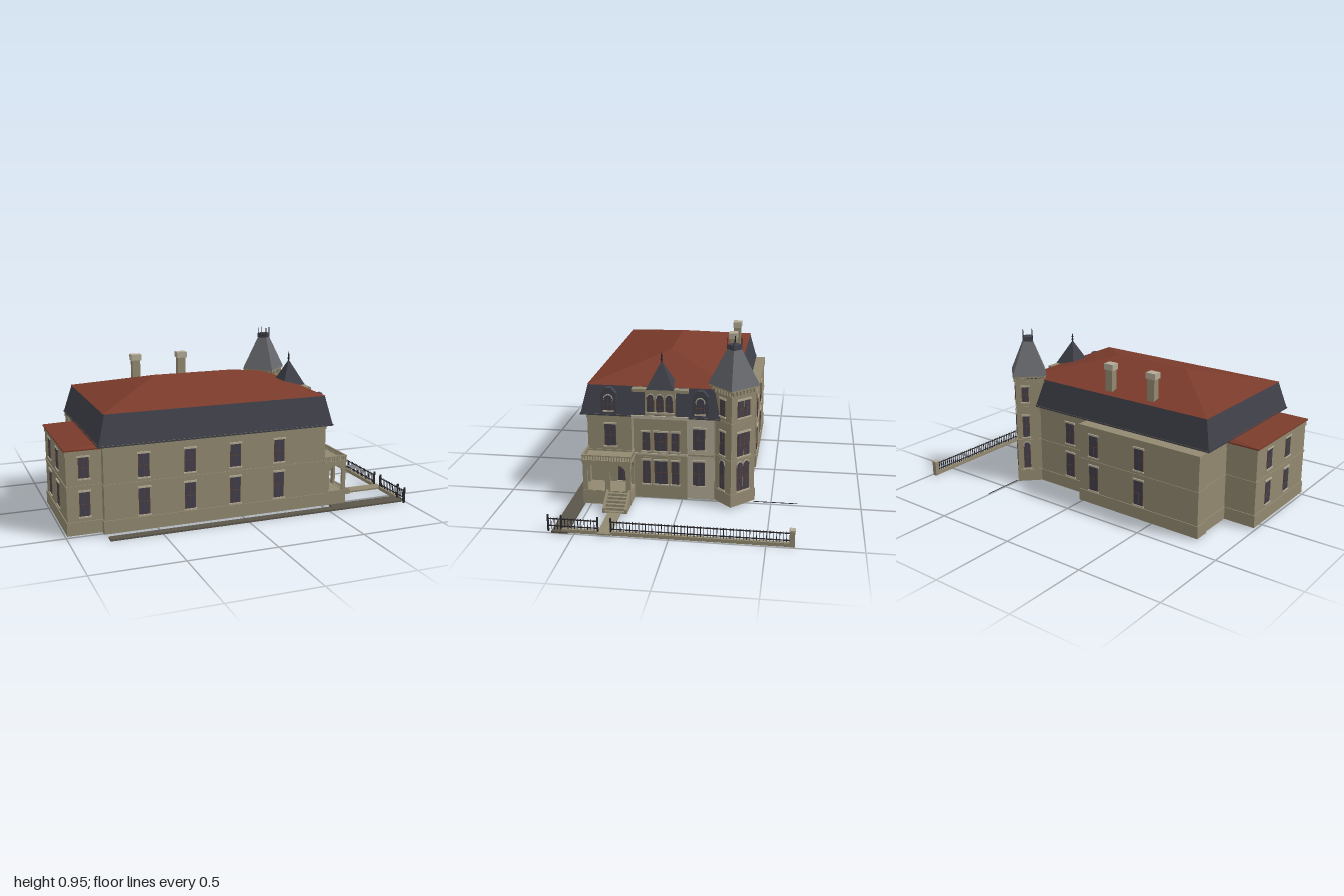
import * as THREE from 'three';

const mat = (name, color, side = THREE.FrontSide) => {
  const m = new THREE.MeshStandardMaterial({ color, side });
  m.name = name;
  return m;
};

export function createModel() {
  const house = new THREE.Group();
  house.name = 'mansardHouse';
  const D = THREE.DoubleSide;
  const stone = mat('stone', 0x928970, D), trim = mat('paleStone', 0xb3ab96), red = mat('redRoof', 0x7a3b2b, D);
  const slate = mat('slate', 0x40404a, D), lead = mat('leadRoof', 0x66686d, D), glass = mat('glass', 0x403f4c);
  const wood = mat('brownWood', 0x5f4438), iron = mat('iron', 0x29292d), paving = mat('darkPaving', 0x5b564a);

  const add = (name, geo, m, parent = house) => {
    const mesh = new THREE.Mesh(geo, m);
    mesh.name = name;
    parent.add(mesh);
    return mesh;
  };
  // Box given by its extents
  const box = (name, m, x0, x1, y0, y1, z0, z1, parent) => {
    const b = add(name, new THREE.BoxGeometry(x1 - x0, y1 - y0, z1 - z0), m, parent);
    b.position.set((x0 + x1) / 2, (y0 + y1) / 2, (z0 + z1) / 2);
    return b;
  };
  const rect = (x0, x1, z0, z1, y) => [[x0, y, z1], [x1, y, z1], [x1, y, z0], [x0, y, z0]];
  const diamond = (x, z, r, y) => [[x, y, z + r], [x + r, y, z], [x, y, z - r], [x - r, y, z]];
  // Flat-faced skin over a stack of four-cornered rings
  const loft = (name, m, ...rings) => {
    const p = [];
    for (let i = 0; i < rings.length - 1; i++)
      for (let j = 0; j < 4; j++) {
        const a = rings[i][j], b = rings[i][(j + 1) % 4], c = rings[i + 1][(j + 1) % 4], d = rings[i + 1][j];
        p.push(...a, ...b, ...c, ...a, ...c, ...d);
      }
    const g = new THREE.BufferGeometry();
    g.setAttribute('position', new THREE.Float32BufferAttribute(p, 3));
    g.computeVertexNormals();
    return add(name, g, m);
  };
  // Open-bottomed walls with plinth and string course
  const walls = (name, x0, x1, z0, z1, top) => {
    loft(name + 'Walls', stone, rect(x0, x1, z0, z1, 0.01), rect(x0, x1, z0, z1, top));
    for (const [y0, y1, o] of [[0.012, 0.085, 0.005], [0.275, 0.284, 0.004], [top - 0.03, top, 0.004]])
      loft(name + 'Band', stone, rect(x0, x1, z0, z1, y0), rect(x0 - o, x1 + o, z0 - o, z1 + o, y0),
        rect(x0 - o, x1 + o, z0 - o, z1 + o, y1), rect(x0, x1, z0, z1, y1));
  };
  // Sash window centred on a wall plane, facing along ry
  const sash = (x, y0, y1, z, w, ry, arched = false) => {
    const g = new THREE.Group(), h = y1 - y0;
    g.name = 'window';
    g.position.set(x, (y0 + y1) / 2, z);
    g.rotation.y = ry;
    house.add(g);
    const plate = (name, m, pw, ph, d, y = 0) => box(name, m, -pw / 2, pw / 2, y - ph / 2, y + ph / 2, -d / 2, d / 2, g);
    plate('windowFrame', wood, w + 0.008, h + 0.008, 0.006);
    plate('windowPane', glass, w, h, 0.008);
    plate('meetingRail', wood, w, 0.004, 0.0096);
    if (w > 0.03) plate('glazingBar', wood, 0.003, h, 0.0096);
    plate('sill', trim, w + 0.02, 0.008, 0.016, -h / 2 - 0.006);
    if (arched) {
      for (const [name, m, r, d] of [['archFrame', trim, w / 2 + 0.006, 0.006], ['archPane', glass, w / 2, 0.008]])
        add(name, new THREE.CylinderGeometry(r, r, d, 16).rotateX(Math.PI / 2), m, g).position.y = h / 2;
    } else plate('lintel', trim, w + 0.02, 0.01, 0.014, h / 2 + 0.007);
  };

  // Main block, side wing and rear extension
  walls('main', -0.8, 0.5, -0.3, 0.54, 0.5);
  walls('wing', -0.99, -0.8, -0.08, 0.5, 0.475);
  walls('rear', -0.81, 0, -0.378, -0.3, 0.48);
  box('rearFlatRoof', stone, -0.815, 0.004, 0.48, 0.49, -0.382, -0.3);
  loft('wingRoof', red, rect(-1, -0.79, -0.09, 0.51, 0.474), rect(-1, -0.79, -0.09, 0.51, 0.482),
    rect(-0.83, -0.79, -0.06, 0.48, 0.495), rect(-0.8, -0.8, 0.2, 0.2, 0.497));

  // Mansard, red hipped roof and chimneys
  loft('eaves', slate, rect(-0.8, 0.5, -0.3, 0.54, 0.485), rect(-0.832, 0.53, -0.322, 0.574, 0.495),
    rect(-0.832, 0.53, -0.322, 0.574, 0.503));
  loft('mansard', slate, rect(-0.828, 0.527, -0.318, 0.57, 0.503), rect(-0.785, 0.492, -0.278, 0.532, 0.663));
  loft('hippedRoof', red, rect(-0.79, 0.496, -0.282, 0.536, 0.663), rect(-0.39, 0.09, 0.125, 0.125, 0.77));
  for (const x of [-0.4, -0.11]) {
    box('chimney', stone, x - 0.024, x + 0.024, 0.66, 0.8, -0.245, -0.203);
    box('chimneyCap', trim, x - 0.031, x + 0.031, 0.8, 0.835, -0.25, -0.198);
  }

  // Windows of the long sides and the wing
  const floors = [[0.1, 0.245], [0.31, 0.435]];
  for (const [a, b] of floors) {
    for (const x of [-0.58, -0.32, -0.055, 0.21]) sash(x, a, b, 0.54, 0.055, 0);
    sash(-0.895, a + 0.015, b, 0.5, 0.05, 0);
    for (const z of [0.06, 0.28]) sash(-0.99, a + 0.015, b, z, 0.05, -Math.PI / 2);
    for (const x of [-0.1, -0.42]) sash(x, a, b, -0.378, 0.055, Math.PI);
    sash(0.14, a, b, -0.3, 0.055, Math.PI);
  }

  // Entrance side: centre pavilion, pale bay and their windows
  const R = Math.PI / 2;
  box('pavilion', stone, 0.49, 0.52, 0.01, 0.5, -0.03, 0.27);
  box('pavilionCornice', trim, 0.49, 0.536, 0.488, 0.506, -0.04, 0.28);
  box('pavilionCourse', trim, 0.5, 0.525, 0.272, 0.282, -0.033, 0.273);
  box('pavilionPier', trim, 0.49, 0.515, 0.01, 0.488, 0.27, 0.283);
  box('paleBay', trim, 0.49, 0.508, 0.01, 0.49, -0.18, -0.03);
  box('bayCourse', stone, 0.49, 0.514, 0.272, 0.282, -0.18, -0.03);
  for (const [z, w] of [[0.2, 0.036], [0.118, 0.066], [0.036, 0.036]]) {
    sash(0.52, 0.1, 0.235, z, w, R);
    sash(0.52, 0.3, 0.405, z, w, R);
    const arc = add('windowHood', new THREE.TorusGeometry(w * 0.75, 0.004, 4, 12, Math.PI), stone);
    arc.scale.y = 0.5;
    arc.rotation.y = R;
    arc.position.set(0.522, 0.246, z);
  }
  sash(0.508, 0.095, 0.235, -0.095, 0.06, R);
  sash(0.508, 0.31, 0.43, -0.095, 0.06, R);
  sash(0.5, 0.31, 0.435, 0.41, 0.058, R);
  sash(0.5, 0.1, 0.24, 0.34, 0.055, R);

  // Three-light attic with its spire
  box('attic', stone, 0.42, 0.526, 0.5, 0.645, 0.035, 0.203);
  box('atticCornice', stone, 0.42, 0.536, 0.643, 0.66, -0.038, 0.275);
  for (const z of [0.171, 0.119, 0.067]) sash(0.526, 0.53, 0.61, z, 0.034, R, true);
  loft('spire', slate, rect(0.395, 0.538, 0.04, 0.195, 0.658), rect(0.463, 0.463, 0.117, 0.117, 0.805));
  const finial = [[0, 0], [0.006, 0], [0.003, 0.014], [0.008, 0.022], [0.003, 0.03], [0.006, 0.038], [0, 0.065]];
  add('finial', new THREE.LatheGeometry(finial.map(p => new THREE.Vector2(...p)), 8), iron).position.set(0.463, 0.79, 0.117);

  // Slate dormers
  for (const z of [0.41, -0.105]) {
    const s = new THREE.Shape([[-0.043, 0.515], [0.043, 0.515], [0.043, 0.625], [0.016, 0.656], [-0.016, 0.656],
      [-0.043, 0.625]].map(p => new THREE.Vector2(...p)));
    const d = add('dormer', new THREE.ExtrudeGeometry(s, { depth: 0.08, bevelEnabled: false }), slate);
    d.rotation.y = R;
    d.position.set(0.45, 0, z);
    sash(0.53, 0.53, 0.595, z, 0.042, R, true);
  }

  // Corner tower, set diagonally
  const tx = 0.475, tz = -0.282, ring = (r, y) => diamond(tx, tz, r, y);
  loft('towerWalls', stone, ring(0.12, 0.01), ring(0.12, 0.67));
  for (const [y0, y1, r] of [[0.012, 0.085, 0.126], [0.275, 0.285, 0.125], [0.49, 0.5, 0.125], [0.645, 0.655, 0.125]])
    loft('towerBand', stone, ring(0.12, y0), ring(r, y0), ring(r, y1), ring(0.12, y1));
  loft('towerEaves', stone, ring(0.12, 0.675), ring(0.138, 0.68), ring(0.138, 0.69));
  loft('towerRoof', lead, ring(0.12, 0.688), ring(0.142, 0.69), ring(0.04, 0.887));
  loft('towerCap', slate, ring(0.036, 0.885), ring(0.042, 0.889), ring(0.042, 0.914), ring(0, 0.914));
  for (const [x, , z] of ring(0.038, 0)) box('towerSpike', iron, x - 0.002, x + 0.002, 0.91, 0.95, z - 0.002, z + 0.002);
  for (let k = 0; k < 4; k++) {
    const ry = Math.PI / 4 + k * R, n = 0.12 / Math.SQRT2;
    const at = (u, o) => [tx + Math.sin(ry) * (n + o) + Math.cos(ry) * u, tz + Math.cos(ry) * (n + o) - Math.sin(ry) * u];
    for (let i = -3; i <= 3; i++) {
      const [x, z] = at(i * 0.024, 0.004), c = box('corbel', stone, -0.005, 0.005, 0.655, 0.677, -0.006, 0.006);
      c.position.set(x, 0.666, z);
      c.rotation.y = ry;
    }
    if (k > 1 && k !== 2) continue;
    for (const [a, b] of [[0.1, 0.25], [0.305, 0.435], [0.53, 0.62]])
      for (const u of k === 0 ? [0.01] : k === 1 ? [-0.023, 0.023] : [-0.03]) {
        const [x, z] = at(u, 0);
        sash(x, a, b, z, 0.034, ry, a < 0.2);
      }
  }

  // Arcaded porch
  const arcade = (x, z, ry, len, arches) => {
    const s = new THREE.Shape([[0, 0.085], [len, 0.085], [len, 0.262], [0, 0.262]].map(p => new THREE.Vector2(...p)));
    for (const [c, r] of arches) {
      const h = new THREE.Path();
      h.moveTo(c - r, 0.092);
      h.lineTo(c + r, 0.092);
      h.lineTo(c + r, 0.2);
      h.absarc(c, 0.2, r, 0, Math.PI, false);
      h.closePath();
      s.holes.push(h);
    }
    const m = add('porchArcade', new THREE.ExtrudeGeometry(s, { depth: 0.014, bevelEnabled: false, curveSegments: 10 }), stone);
    m.position.set(x, 0, z);
    m.rotation.y = ry;
  };
  arcade(0.626, 0.54, R, 0.27, [[0.075, 0.049], [0.197, 0.044]]);
  arcade(0.5, 0.526, 0, 0.126, [[0.075, 0.042]]);
  arcade(0.5, 0.27, 0, 0.126, [[0.075, 0.042]]);
  box('porchFloor', stone, 0.5, 0.642, 0.01, 0.09, 0.268, 0.542);
  box('porchRoof', stone, 0.5, 0.646, 0.26, 0.272, 0.264, 0.546);
  const railAt = (x0, x1, z0, z1) => box('porchRail', stone, x0, x1, 0.294, 0.301, z0, z1);
  railAt(0.634, 0.644, 0.266, 0.544);
  railAt(0.5, 0.644, 0.534, 0.544);
  railAt(0.5, 0.644, 0.266, 0.276);
  const post = (x, z) => box('porchBaluster', stone, x - 0.003, x + 0.003, 0.272, 0.295, z - 0.003, z + 0.003);
  for (let i = 0; i <= 18; i++) post(0.639, 0.271 + i * 0.0149);
  for (let i = 0; i < 9; i++) for (const z of [0.271, 0.539]) post(0.508 + i * 0.0148, z);

  // Steps with sloping cheeks, and the path to the gate
  for (let i = 0; i < 6; i++) box('step', stone, 0.64, 0.66 + i * 0.018, 0.01, 0.085 - i * 0.0135, 0.285, 0.395);
  for (const z of [0.272, 0.395]) {
    const s = new THREE.Shape([[0.64, 0.01], [0.752, 0.01], [0.752, 0.035], [0.64, 0.1]].map(p => new THREE.Vector2(...p)));
    add('stepCheek', new THREE.ExtrudeGeometry(s, { depth: 0.013, bevelEnabled: false }), stone).position.z = z;
  }
  box('path', stone, 0.74, 1, 0.004, 0.014, 0.308, 0.378);
  box('pavement', paving, -0.79, 1, 0, 0.01, 0.572, 0.622);
  box('pavementCorner', paving, 0.54, 1, 0, 0.01, 0.535, 0.572);
  box('groundLine', iron, 0.493, 0.496, 0.008, 0.011, -0.65, -0.4);

  // Iron railing on a stone kerb, with gateway and end pier
  for (const [z0, z1, kerb] of [[-0.62, 0.308, true], [0.378, 0.57, true], [0.575, 0.643, false]]) {
    if (kerb) box('kerb', stone, 0.97, 0.99, 0, 0.02, z0, z1);
    for (const y of [0.03, 0.07]) box('fenceRail', iron, 0.978, 0.983, y, y + 0.005, z0, z1);
    const n = Math.round((z1 - z0) / 0.017);
    for (let i = 0; i <= n; i++) {
      const z = z0 + (z1 - z0) * i / n;
      box('fenceBar', iron, 0.979, 0.982, 0.012, 0.08, z - 0.0015, z + 0.0015);
    }
  }
  for (const z of [0.308, 0.378, 0.572, 0.643]) box('gatePost', iron, 0.975, 0.985, 0, 0.095, z - 0.004, z + 0.004);
  box('endPier', stone, 0.966, 0.994, 0, 0.088, -0.646, -0.62);
  box('endPierCap', trim, 0.963, 0.997, 0.088, 0.096, -0.648, -0.617);
  return house;
}
